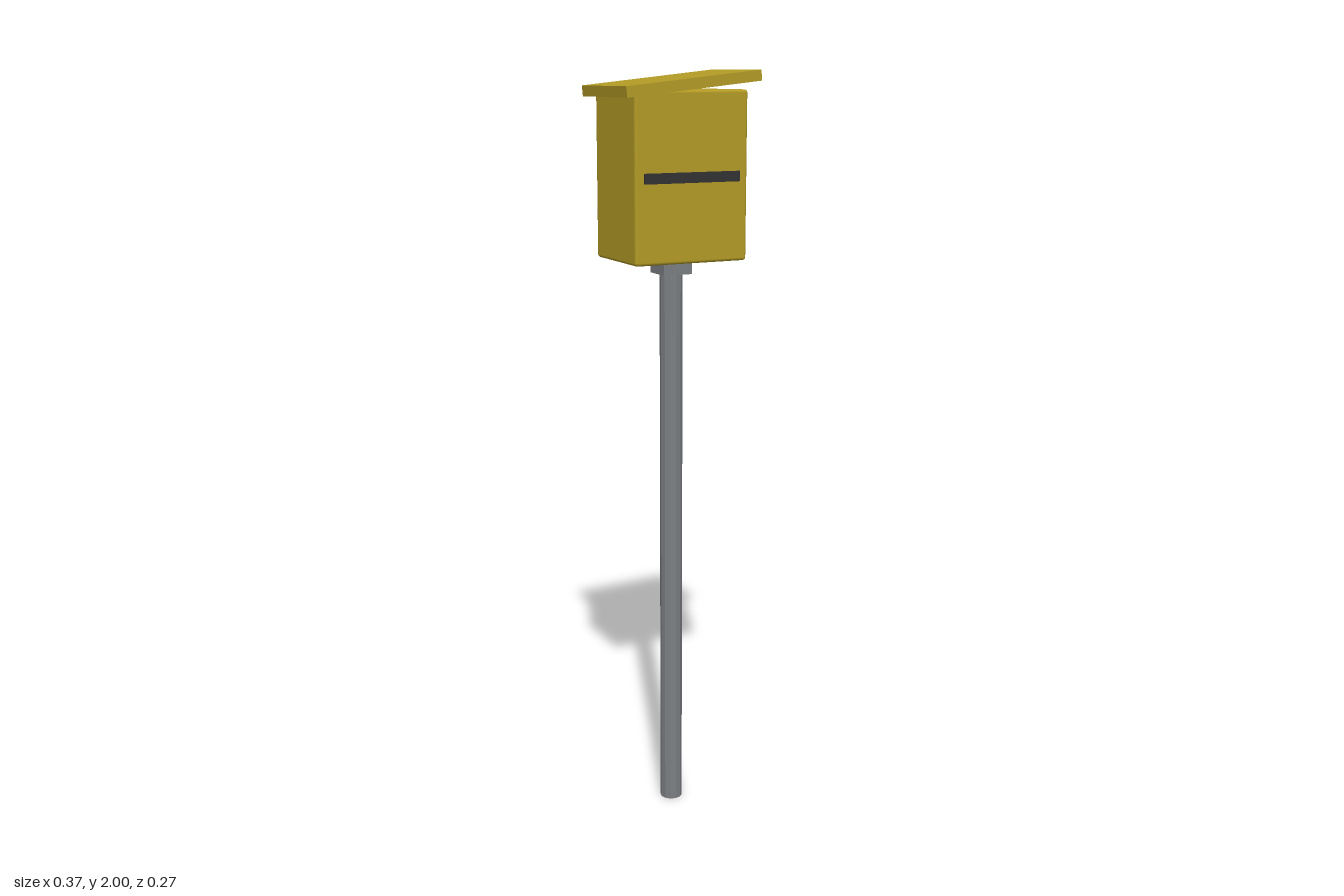
import * as THREE from 'three';
import { RoundedBoxGeometry } from 'three/addons/geometries/RoundedBoxGeometry.js';

export function createModel() {
  const model = new THREE.Group();
  model.name = 'postMountedBox';

  const material = (name, color, flatShading = false) => {
    const m = new THREE.MeshStandardMaterial({ color, flatShading });
    m.name = name;
    return m;
  };
  const yellow = material('yellowPaint', 0xb39b26);
  const grey = material('greyMetal', 0x7c7f83, true);
  const black = material('blackPanel', 0x323232);

  const add = (name, geometry, mat, x, y, z) => {
    const mesh = new THREE.Mesh(geometry, mat);
    mesh.name = name;
    mesh.position.set(x, y, z);
    model.add(mesh);
    return mesh;
  };
  const box = (w, h, d) => new THREE.BoxGeometry(w, h, d);

  // Post and the square collar under the housing
  add('post', new THREE.CylinderGeometry(0.03, 0.03, 1.49, 12), grey, 0, 0.745, 0);
  add('collar', box(0.08, 0.04, 0.08), grey, 0, 1.508, 0);

  // Housing with softly rounded edges
  add('housing', new RoundedBoxGeometry(0.314, 0.426, 0.236, 2, 0.008), yellow, 0, 1.739, 0);

  // Overhanging roof, rising toward the display side
  const roof = add('roof', box(0.373, 0.027, 0.268), yellow, 0, 1.967, 0);
  roof.rotation.z = THREE.MathUtils.degToRad(6);

  // Display and plate on the left side
  add('display', box(0.008, 0.228, 0.18), black, 0.159, 1.794, 0);
  add('plate', box(0.008, 0.053, 0.16), grey, 0.159, 1.616, 0);

  // Matching stripes on front and back
  for (const [name, side] of [['frontStripe', 1], ['backStripe', -1]]) {
    add(name, box(0.266, 0.026, 0.008), black, 0, 1.74, side * 0.118);
  }

  return model;
}
